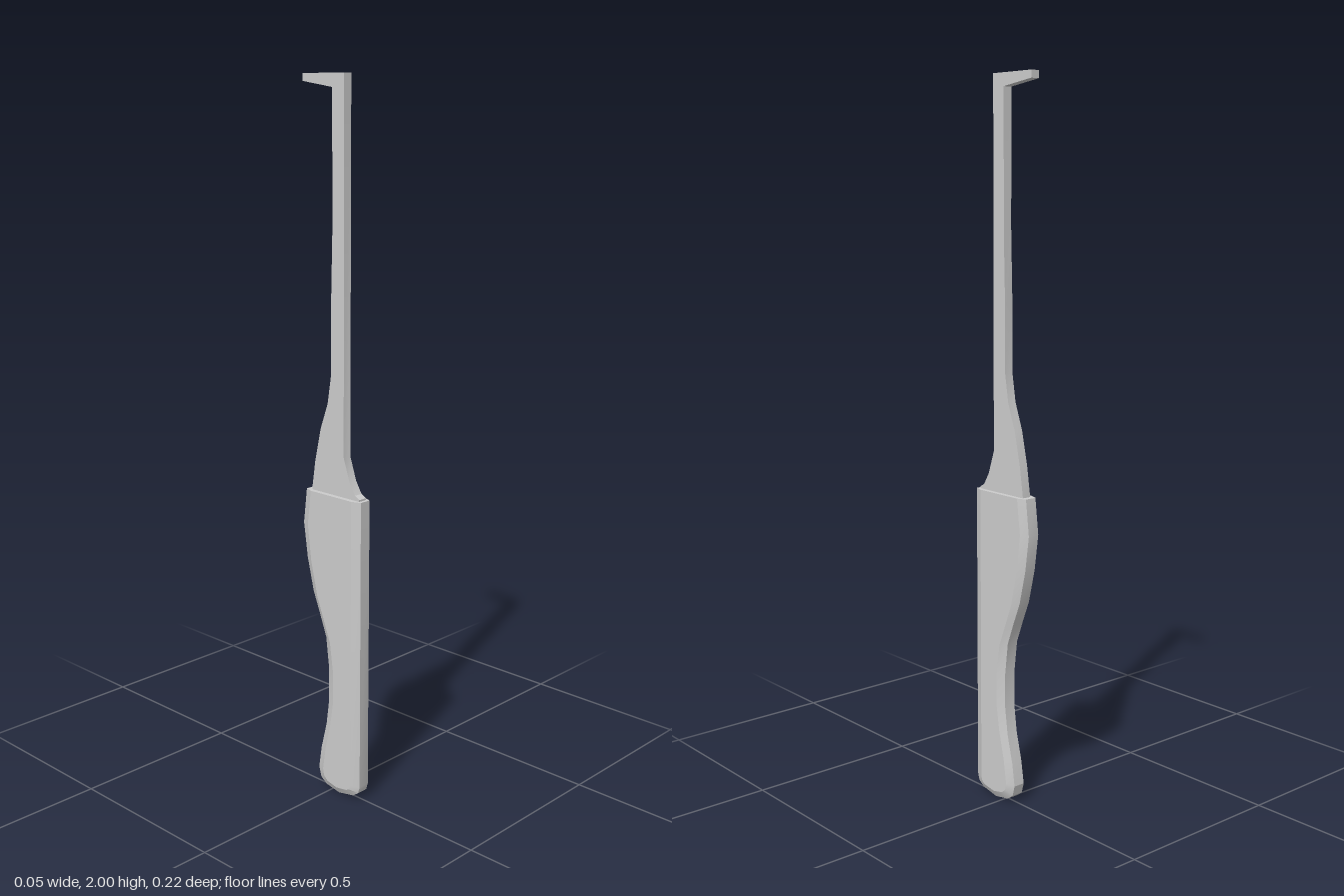
import * as THREE from 'three';
import { toCreasedNormals } from 'three/addons/utils/BufferGeometryUtils.js';

const material = new THREE.MeshStandardMaterial({ color: 0xcccccc });

// Handle side outline: rim z, y, then the matching edge of the flat side z, y
const OUTLINE = [
  [0.11, 0.89, 0.083, 0.89],
  [0.11, 0.05, 0.083, 0.05],
  [0.104, 0.03, 0.078, 0.036],
  [0.085, 0.016, 0.066, 0.03],
  [0.03, 0.005, 0.028, 0.024],
  [-0.02, 0.014, -0.008, 0.032],
  [-0.042, 0.03, -0.021, 0.044],
  [-0.05, 0.06, -0.025, 0.064],
  [-0.04, 0.125, -0.015, 0.13],
  [-0.02, 0.205, 0.004, 0.21],
  [-0.01, 0.28, 0.015, 0.28],
  [-0.01, 0.38, 0.015, 0.376],
  [-0.021, 0.47, 0.003, 0.462],
  [-0.045, 0.533, -0.021, 0.523],
  [-0.07, 0.595, -0.046, 0.587],
  [-0.093, 0.69, -0.069, 0.685],
  [-0.107, 0.79, -0.082, 0.79],
  [-0.095, 0.89, -0.07, 0.89],
];

// Slab with bevelled long edges, built from four outline loops and two flat sides
function handleGeometry() {
  const n = OUTLINE.length;
  const loops = [[0.027, 2], [0.017, 0], [-0.017, 0], [-0.027, 2]];
  const positions = [];
  for (const [x, k] of loops) {
    for (const p of OUTLINE) positions.push(x, p[k + 1], p[k]);
  }
  const index = [];
  for (let r = 0; r < 3; r++) {
    for (let i = 0; i < n; i++) {
      const j = (i + 1) % n;
      const a = r * n + i, b = a + n, c = (r + 1) * n + j, d = r * n + j;
      index.push(a, b, c, a, c, d);
    }
  }
  const side = OUTLINE.map((p) => new THREE.Vector2(p[2], p[3]));
  for (const t of THREE.ShapeUtils.triangulateShape(side, [])) {
    const clockwise = THREE.ShapeUtils.area(t.map((i) => side[i])) < 0;
    const [a, b, c] = clockwise ? t : [t[0], t[2], t[1]];
    index.push(a, b, c, 3 * n + a, 3 * n + c, 3 * n + b);
  }
  const geometry = new THREE.BufferGeometry();
  geometry.setAttribute('position', new THREE.Float32BufferAttribute(positions, 3));
  geometry.setIndex(index);
  return toCreasedNormals(geometry, 0.33);
}

// Flat shank with a flared foot and a hooked tip, drawn as z, y
function shankGeometry() {
  const points = [
    [0.1, 0.87], [0.1, 0.893], [0.084, 0.902], [0.064, 0.935], [0.042, 1.0],
    [0.042, 2], [-0.107, 2], [-0.107, 1.98], [0, 1.965],
    [0, 1.6], [-0.005, 1.4], [-0.005, 1.22], [-0.018, 1.14],
    [-0.045, 1.065], [-0.066, 0.97], [-0.078, 0.89], [-0.078, 0.87],
  ];
  const shape = new THREE.Shape(points.map(([z, y]) => new THREE.Vector2(z, y)));
  const geometry = new THREE.ExtrudeGeometry(shape, { depth: 0.026, bevelEnabled: false });
  geometry.translate(0, 0, -0.013).rotateY(-Math.PI / 2);
  return toCreasedNormals(geometry, 0.5);
}

export function createModel() {
  const group = new THREE.Group();
  const parts = { handle: handleGeometry(), hookedShank: shankGeometry() };
  for (const [name, geometry] of Object.entries(parts)) {
    const mesh = new THREE.Mesh(geometry, material);
    mesh.name = name;
    group.add(mesh);
  }
  // Rest the rounded handle end on the ground
  group.children[0].position.y = -0.002;
  return group;
}
